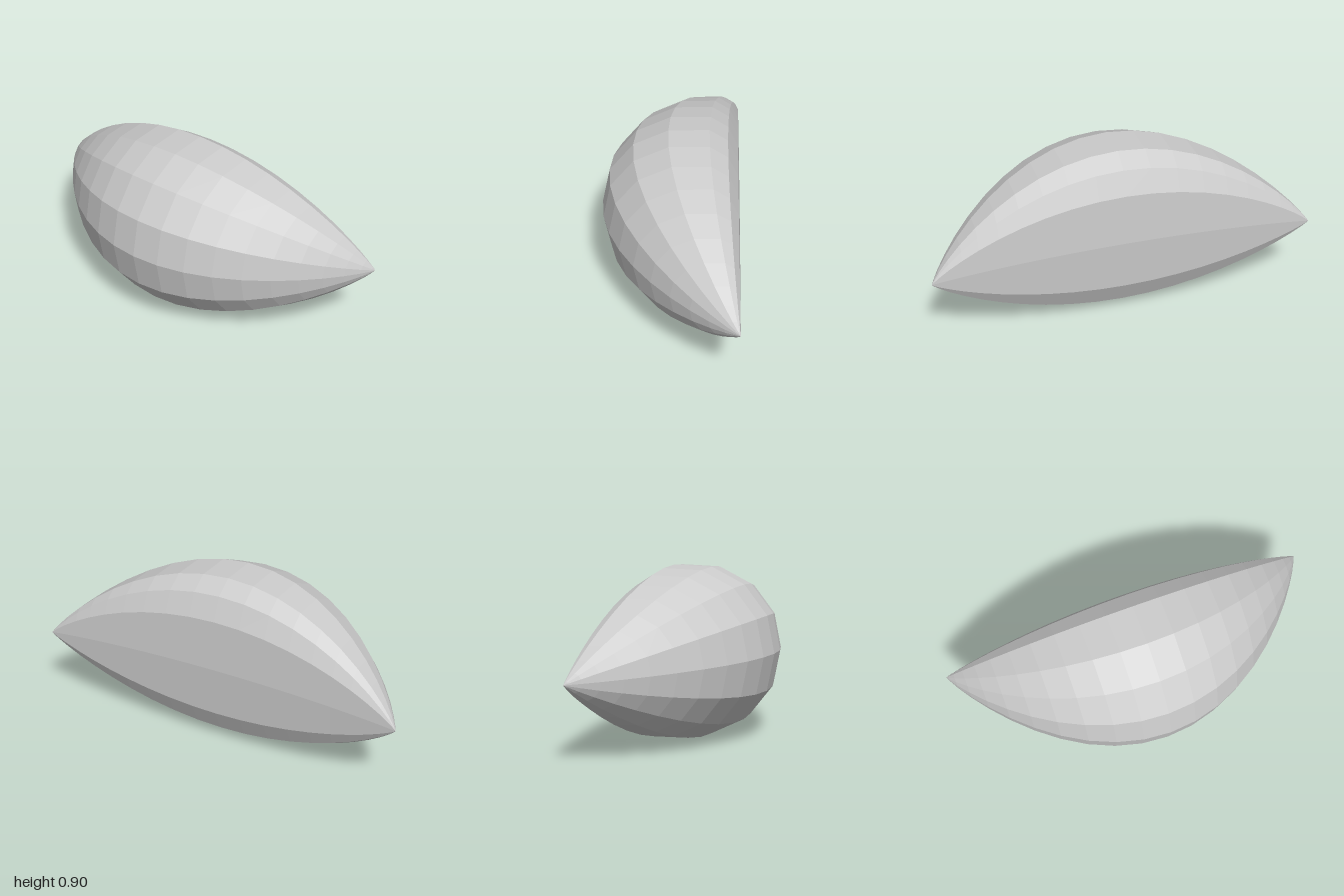
import * as THREE from 'three';

// Half of the middle cross-section as [z, height above the middle], front to back
const HALF = [[0.36, 0], [0.32, 0.197], [0.195, 0.355], [0.015, 0.443],
  [-0.195, 0.449], [-0.29, 0.389], [-0.345, 0.27], [-0.36, 0]];
const MID_Y = 0.45;
const TIP = { y: 0.4, z: -0.36 };
const SEGMENTS = 22;

function createShell() {
  // Mirror the half section downwards into a closed loop
  const section = [
    ...HALF.map(([z, h]) => [z, MID_Y + h]),
    ...HALF.slice(1, -1).reverse().map(([z, h]) => [z, MID_Y - h]),
  ];
  const n = section.length;
  const positions = [];
  const index = [];

  // Sections shrink towards the two side tips
  for (let i = 0; i <= SEGMENTS; i++) {
    const t = (i / SEGMENTS - 0.5) * Math.PI;
    const end = i === 0 || i === SEGMENTS;
    const scale = end ? 0 : Math.pow(Math.cos(t), 1.76);
    for (const [z, y] of section) {
      positions.push(Math.sin(t), TIP.y + (y - TIP.y) * scale, TIP.z + (z - TIP.z) * scale);
    }
  }

  // Join neighbouring sections, with single triangles at the tips
  for (let i = 0; i < SEGMENTS; i++) {
    for (let j = 0; j < n; j++) {
      const k = (j + 1) % n;
      const a = i * n + j, b = a + n, c = i * n + k, d = c + n;
      if (i < SEGMENTS - 1) index.push(a, b, d);
      if (i > 0) index.push(a, d, c);
    }
  }

  const indexed = new THREE.BufferGeometry();
  indexed.setAttribute('position', new THREE.Float32BufferAttribute(positions, 3));
  indexed.setIndex(index);
  const geometry = indexed.toNonIndexed();
  geometry.computeVertexNormals();
  return geometry;
}

export function createModel() {
  const group = new THREE.Group();
  group.name = 'facetedSeed';
  const material = new THREE.MeshStandardMaterial({ color: 0xcccccc, flatShading: true });
  const shell = new THREE.Mesh(createShell(), material);
  shell.name = 'shell';
  group.add(shell);
  return group;
}
